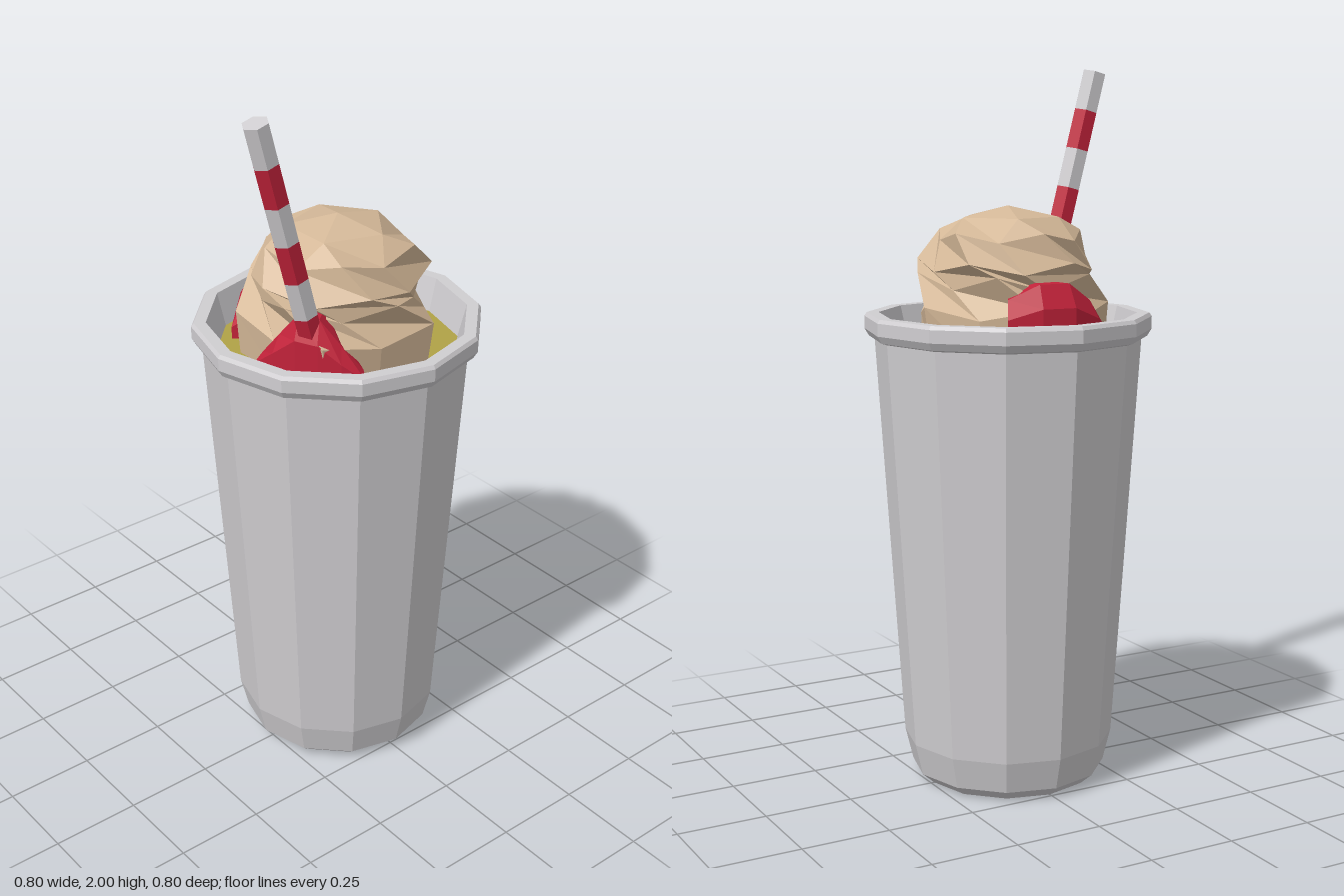
import * as THREE from 'three';

const mat = (name, color) => {
  const m = new THREE.MeshStandardMaterial({ color });
  m.name = name;
  return m;
};

// Flat facets: every triangle gets its own normal
const faceted = (geo) => {
  const g = geo.index ? geo.toNonIndexed() : geo;
  g.computeVertexNormals();
  return g;
};

const part = (name, geo, material) => {
  const m = new THREE.Mesh(faceted(geo), material);
  m.name = name;
  return m;
};

const fromTriangles = (tris) =>
  new THREE.BufferGeometry().setFromPoints(tris.flat());

const polar = (r, y, phi) => new THREE.Vector3(r * Math.sin(phi), y, r * Math.cos(phi));

const lathe = (pts) => new THREE.LatheGeometry(pts.map((p) => new THREE.Vector2(...p)), 12);

// Scoop: twisted rings of ten points under a pole, with a creased, wavy skirt
function scoopGeometry() {
  const n = 10, step = (Math.PI * 2) / n;
  // radius, height, twist in steps, radial wave, height wave
  const rings = [
    [0.2, 1.545, 0.5, 0.005, 0.012],
    [0.24, 1.465, 1, 0.008, 0.014],
    [0.232, 1.425, 1.5, 0.016, 0.02],
    [0.262, 1.345, 2.2, 0.016, 0.015],
    [0.25, 1.22, 2.2, 0.012, 0],
  ].map(([r, y, twist, dr, dy]) =>
    Array.from({ length: n }, (_, j) => {
      const s = j % 2 ? 1 : -1;
      return polar(r + s * dr + 0.006 * Math.sin(j * 2.3 + y * 9), y + s * dy, (j + twist) * step);
    }));
  // Crown ring has five points, each used twice
  const crown = Array.from({ length: n }, (_, j) =>
    polar(0.14, 1.595, (Math.floor(j / 2) * 2 + 1) * step));
  rings.unshift(crown);
  const tris = [], pole = new THREE.Vector3(0, 1.625, 0);
  const add = (a, b, c) => {
    if (!a.equals(b) && !b.equals(c) && !c.equals(a)) tris.push([a, b, c]);
  };
  for (let j = 0; j < n; j++) {
    const k = (j + 1) % n;
    add(pole, crown[j], crown[k]);
    for (let i = 0; i + 1 < rings.length; i++) {
      const a = rings[i], b = rings[i + 1];
      add(a[j], b[j], b[k]);
      add(a[j], b[k], a[k]);
    }
  }
  return fromTriangles(tris);
}

// Sauce: a low ridge following an arc, given its height at even steps
function sauceGeometry(start, end, heights, radii) {
  const base = 1.22;
  const sections = heights.map((h, i) => {
    const phi = start + ((end - start) * i) / (heights.length - 1);
    const r = radii[i];
    return [
      polar(r, base, phi),
      polar(r, base + (h - base) * 0.7, phi),
      polar(r - 0.03, h, phi),
      polar(r - 0.1, h, phi),
      polar(r - 0.1, base, phi),
    ];
  });
  const tris = [];
  for (let i = 0; i + 1 < sections.length; i++) {
    const a = sections[i], b = sections[i + 1];
    for (let k = 0; k < 4; k++) {
      tris.push([a[k], b[k], a[k + 1]], [b[k], b[k + 1], a[k + 1]]);
    }
  }
  const first = sections[0], last = sections[sections.length - 1];
  for (let k = 1; k < 4; k++) {
    tris.push([first[0], first[k], first[k + 1]], [last[0], last[k + 1], last[k]]);
  }
  return fromTriangles(tris);
}

export function createModel() {
  const grey = mat('pale grey', 0xd0ced1);
  const yellow = mat('mustard drink', 0xb0a246);
  const cream = mat('beige cream', 0xd4b898);
  const red = mat('red', 0xc2223a);

  const model = new THREE.Group();
  model.name = 'milkshake';

  // Tapered cup with a chamfered foot
  model.add(part('cup', lathe([[0, 0], [0.24, 0], [0.275, 0.03], [0.297, 0.12], [0.372, 1.26]]), grey));

  // Rolled rim and inside wall
  model.add(part('rim', lathe([
    [0.372, 1.26], [0.388, 1.265], [0.4, 1.285], [0.4, 1.32], [0.393, 1.33], [0.36, 1.33], [0.335, 1.23],
  ]), grey));

  model.add(part('drink', lathe([[0.338, 1.235], [0, 1.235]]), yellow));
  model.add(part('scoop', scoopGeometry(), cream));

  // Sauce on the right side and around the straw
  model.add(part('sideSauce', sauceGeometry(-2.08, -0.81,
    [1.39, 1.43, 1.43, 1.38, 1.29], [0.295, 0.3, 0.305, 0.3, 0.295]), red));
  model.add(part('strawSauce', sauceGeometry(0.03, 1.15,
    [1.3, 1.37, 1.44, 1.43, 1.36, 1.29], [0.292, 0.287, 0.28, 0.28, 0.285, 0.292]), red));

  // Six-sided striped straw leaning to the front
  const straw = new THREE.Group();
  straw.name = 'straw';
  const band = 0.113;
  for (let i = 0; i < 7; i++) {
    const open = i !== 0 && i !== 6;
    const geo = new THREE.CylinderGeometry(0.036, 0.036, band, 6, 1, open);
    geo.translate(0, -band * (i + 0.5), 0);
    straw.add(part('strawBand' + (i + 1), geo, i % 2 ? red : grey));
  }
  straw.position.set(0.133, 1.99, 0.36);
  straw.rotation.x = 0.258;
  model.add(straw);

  return model;
}
